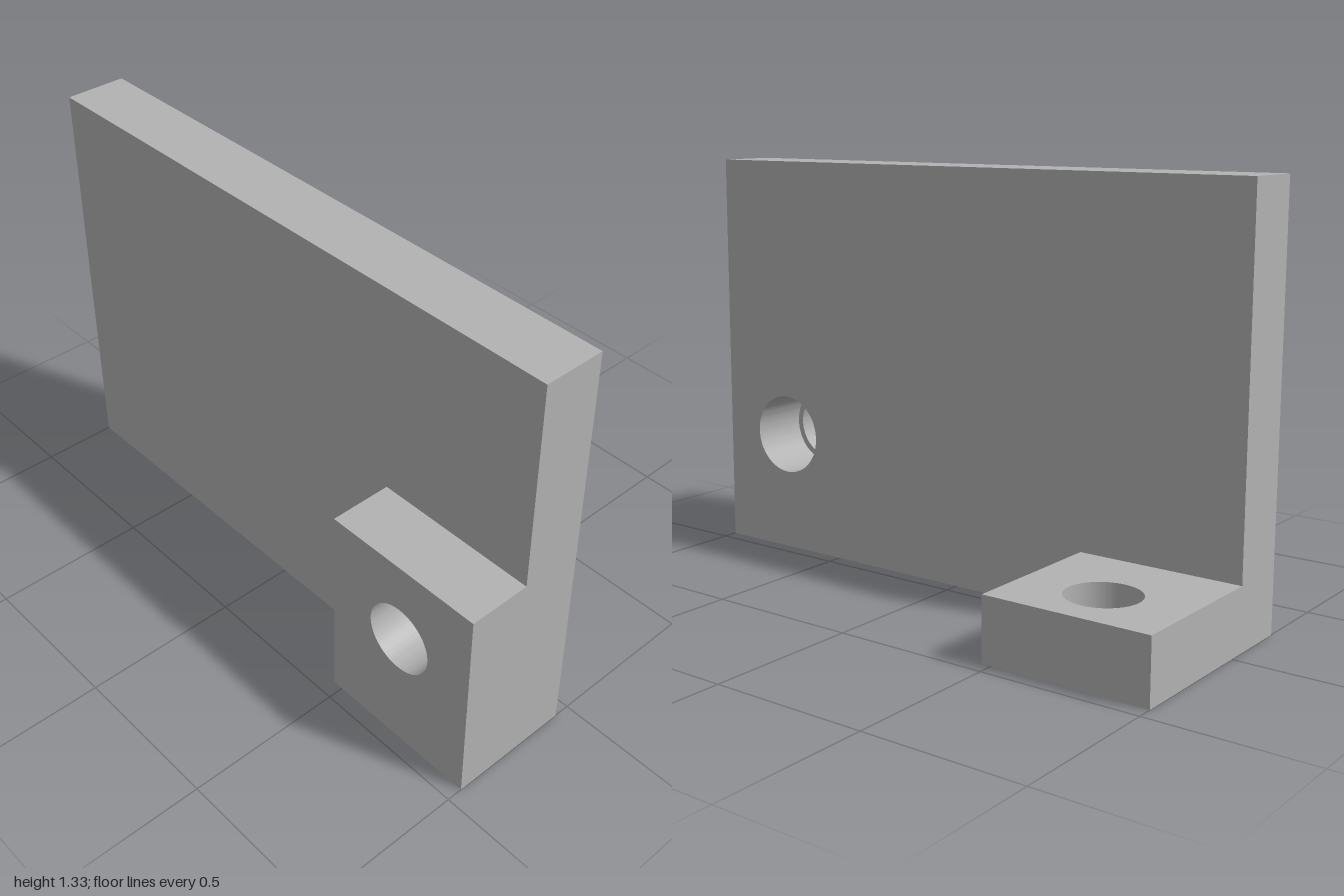
import * as THREE from 'three';
import { toCreasedNormals } from 'three/addons/utils/BufferGeometryUtils.js';

const THICKNESS = 0.2;

// Rectangular slab with one round hole, extruded along +z
function drilledSlab(u0, u1, v0, v1, holeU, holeV, holeRadius) {
  const shape = new THREE.Shape();
  shape.moveTo(u0, v0).lineTo(u1, v0).lineTo(u1, v1).lineTo(u0, v1).closePath();
  const hole = new THREE.Path();
  hole.absarc(holeU, holeV, holeRadius, 0, Math.PI * 2, true);
  shape.holes.push(hole);
  return new THREE.ExtrudeGeometry(shape, {
    depth: THICKNESS, bevelEnabled: false, curveSegments: 48,
  });
}

export function createModel() {
  const group = new THREE.Group();
  const grey = new THREE.MeshStandardMaterial({ color: 0xb2b2b2 });
  grey.name = 'grey';

  const add = (name, geometry) => {
    const mesh = new THREE.Mesh(toCreasedNormals(geometry, Math.PI / 6), grey);
    mesh.name = name;
    group.add(mesh);
  };

  // Tall upright plate with the wider clearance hole
  add('uprightPlate', drilledSlab(-1, 1, 0, 1.333, -0.733, 0.4, 0.133)
    .rotateY(Math.PI / 2).translate(-0.25, 0, 0));

  // Side block behind the plate, its narrower hole leaves a step
  add('sideBlock', drilledSlab(-1, -0.467, 0, 0.667, -0.733, 0.4, 0.113)
    .rotateY(Math.PI / 2).translate(-0.45, 0, 0));

  // Horizontal mounting foot with a vertical hole
  add('mountingFoot', drilledSlab(-0.05, 0.45, 0.467, 1, 0.25, 0.733, 0.113)
    .rotateX(-Math.PI / 2));

  return group;
}
